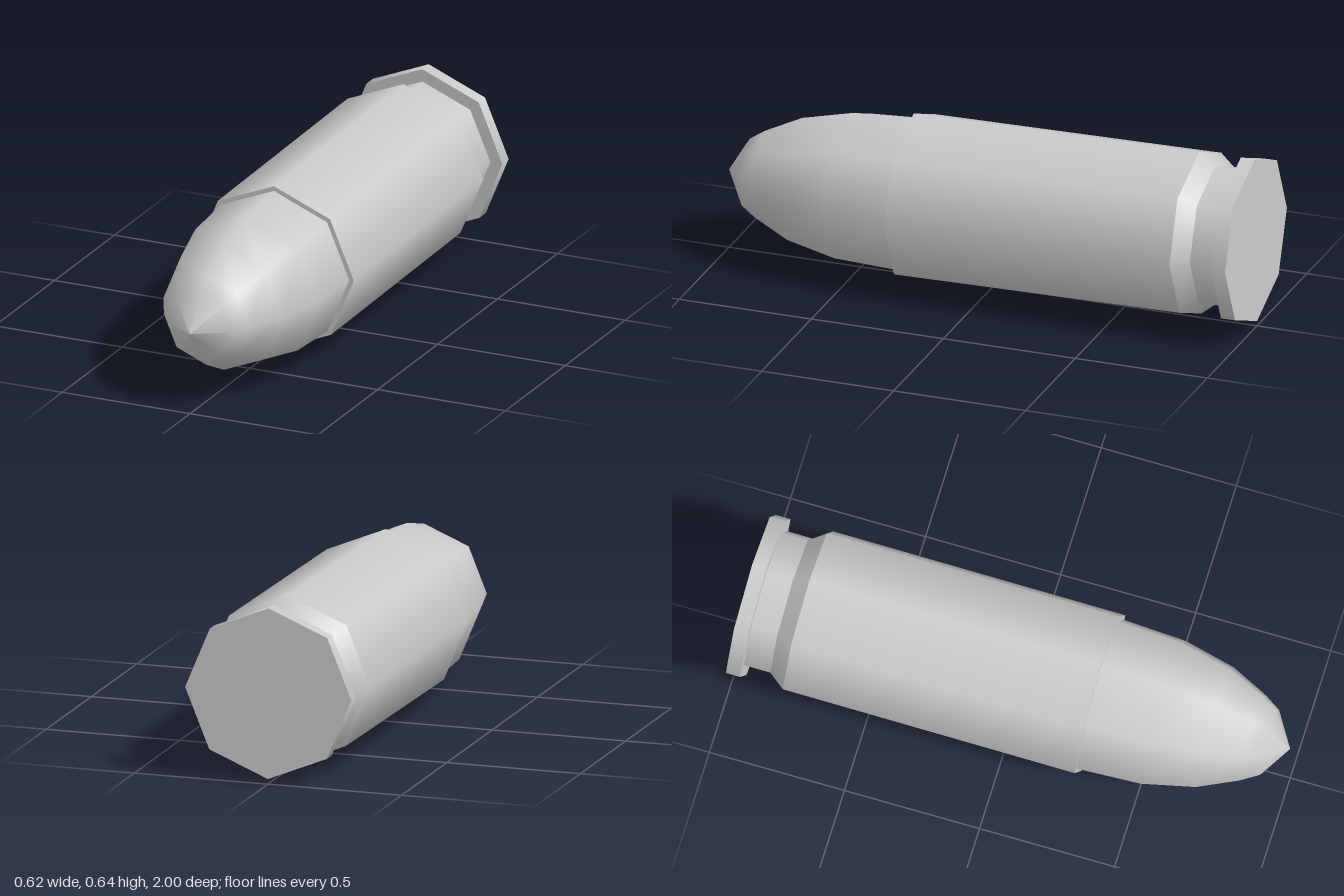
import * as THREE from 'three';

const SIDES = 8;

export function createModel() {
  const model = new THREE.Group();
  model.name = 'cartridge';
  const material = new THREE.MeshStandardMaterial({ color: 0xcccccc });

  // Eight-sided body of revolution along z; each profile is [radius, z] from back to front.
  // Profiles are smooth within themselves and sharp where two of them meet.
  const turned = (parent, name, profile) => {
    const points = profile.map(([r, z]) => new THREE.Vector2(r, z));
    const geometry = new THREE.LatheGeometry(points, SIDES).rotateX(Math.PI / 2);
    const mesh = new THREE.Mesh(geometry, material);
    mesh.name = name;
    parent.add(mesh);
  };

  // The whole round lies along z with a very slight nose-down tilt
  const round = new THREE.Group();
  round.name = 'round';
  round.position.y = 0.318;
  round.rotation.x = 0.0145;
  model.add(round);

  // Rim at the back
  turned(round, 'rimBase', [[0, -0.996], [0.311, -0.996]]);
  turned(round, 'rimEdge', [[0.311, -0.996], [0.311, -0.943]]);
  turned(round, 'rimFront', [[0.311, -0.943], [0.264, -0.943]]);

  // Extractor groove and its bevel up to the case
  turned(round, 'extractorGroove', [[0.264, -0.943], [0.264, -0.845]]);
  turned(round, 'grooveBevel', [[0.264, -0.845], [0.311, -0.785]]);

  // Case wall and mouth
  turned(round, 'caseWall', [[0.311, -0.785], [0.311, 0.296]]);
  turned(round, 'caseMouth', [[0.311, 0.296], [0.293, 0.296]]);

  // Rounded bullet
  turned(round, 'bullet', [
    [0.293, 0.296], [0.281, 0.53], [0.236, 0.72], [0.168, 0.86], [0.129, 0.92], [0, 1],
  ]);

  return model;
}
